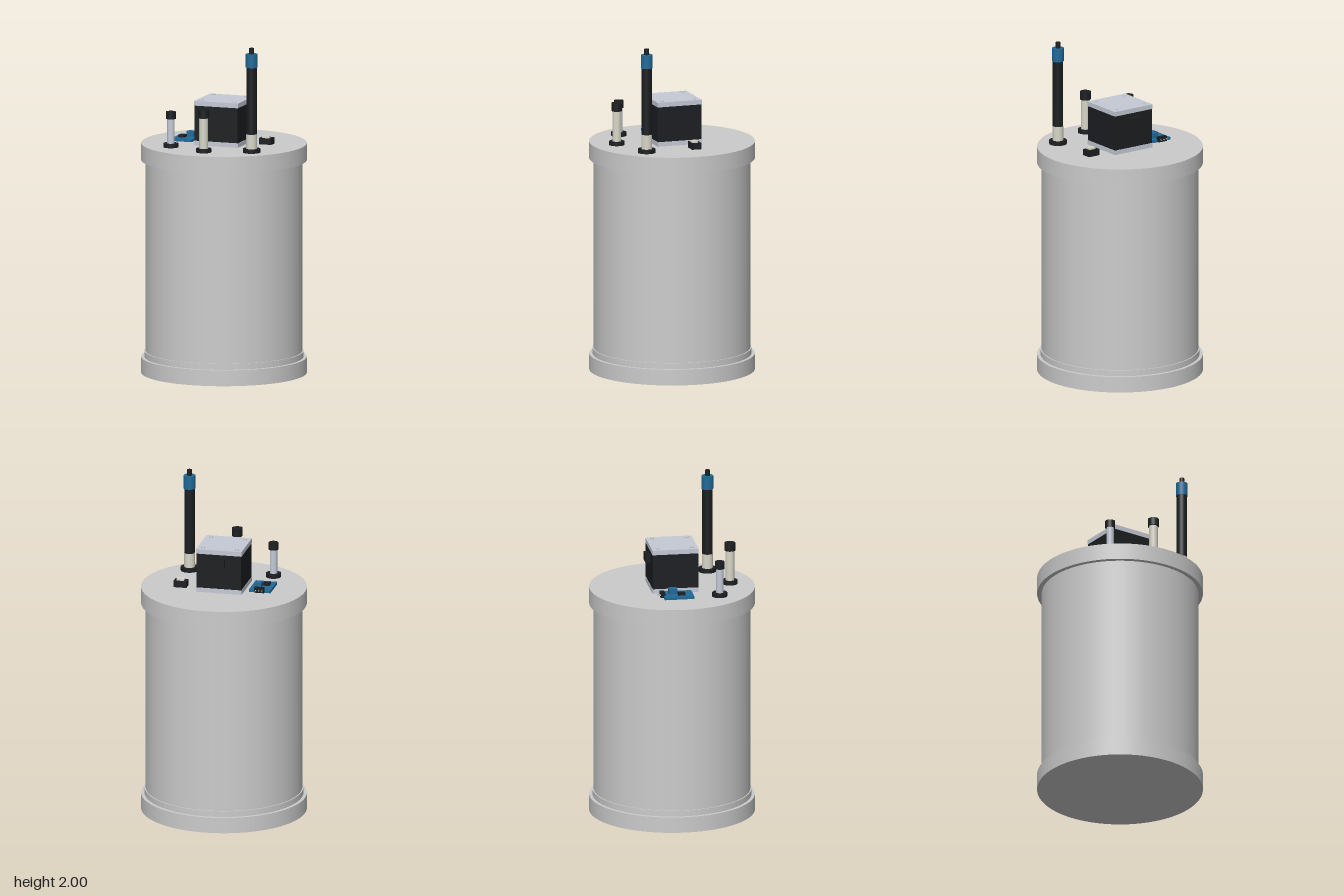
import * as THREE from 'three';

const mat = (color) => new THREE.MeshStandardMaterial({ color });
const grey = mat(0xcccccc), black = mat(0x1b1e21), blue = mat(0x1f6a98);
const silver = mat(0xc4cad6), cream = mat(0xd8d6c8);
const DECK = 1.375; // top of the lid

export function createModel() {
  const model = new THREE.Group();

  function group(name, x, z) {
    const g = new THREE.Group();
    g.name = name;
    g.position.set(x, 0, z);
    model.add(g);
    return g;
  }
  function add(parent, name, geometry, material, x, y, z) {
    const mesh = new THREE.Mesh(geometry, material);
    mesh.name = name;
    mesh.position.set(x, y, z);
    parent.add(mesh);
    return mesh;
  }
  // Upright cylinder between two heights
  const rod = (parent, name, material, r, y0, y1, x = 0, z = 0, sides = 32) =>
    add(parent, name, new THREE.CylinderGeometry(r, r, y1 - y0, sides), material, x, (y0 + y1) / 2, z);
  // Box given by its limits on each axis
  const box = (parent, name, material, [x0, x1], [y0, y1], [z0, z1]) =>
    add(parent, name, new THREE.BoxGeometry(x1 - x0, y1 - y0, z1 - z0), material,
      (x0 + x1) / 2, (y0 + y1) / 2, (z0 + z1) / 2);

  // Vessel
  const vessel = group('vessel', 0, 0);
  rod(vessel, 'base', grey, 0.49, 0, 0.095, 0, 0, 96);
  rod(vessel, 'baseRing', grey, 0.47, 0.095, 0.13, 0, 0, 96);
  rod(vessel, 'body', grey, 0.463, 0.095, 1.275, 0, 0, 96);
  rod(vessel, 'lid', grey, 0.49, 1.275, DECK, 0, 0, 96);

  // Square motor with end plates, screws and rear connector
  const motor = group('motor', 0, 0);
  const side = [-0.138, 0.138], core = [-0.136, 0.136];
  box(motor, 'lowerPlate', silver, side, [DECK, 1.402], side);
  box(motor, 'motorBody', black, core, [1.402, 1.612], core);
  box(motor, 'upperPlate', silver, side, [1.612, 1.64], side);
  for (const x of [-0.103, 0.103])
    for (const z of [-0.103, 0.103]) rod(motor, 'screw', silver, 0.011, 1.635, 1.645, x, z, 16);
  box(motor, 'motorConnector', black, [-0.039, 0.039], [1.538, 1.588], [-0.165, -0.13]);

  // Small circuit board
  const board = group('circuitBoard', -0.237, 0);
  box(board, 'boardPlate', blue, [-0.065, 0.065], [1.382, 1.398], [-0.09, 0.087]);
  box(board, 'trimmer', blue, [-0.001, 0.043], [1.398, 1.428], [-0.054, -0.004]);
  box(board, 'chip', black, [-0.039, 0.001], [1.398, 1.412], [-0.005, 0.038]);
  box(board, 'pinHeader', black, [-0.029, 0.03], [1.385, 1.415], [-0.108, -0.082]);
  for (const x of [-0.02, 0, 0.02])
    box(board, 'pin', silver, [x - 0.002, x + 0.002], [1.398, 1.402], [-0.123, -0.105]);

  // Small sensor block with a pale window
  const sensor = group('sensor', 0.249, -0.054);
  box(sensor, 'sensorBlock', black, [-0.039, 0.039], [DECK, 1.412], [-0.029, 0.029]);
  box(sensor, 'sensorWindow', cream, [-0.022, 0.022], [1.41, 1.422], [-0.013, 0.023]);

  // Capped ports: name, x, z, tube radius, cap radius, cap bottom and top, tube material
  for (const [name, x, z, r, capR, y0, y1, m] of [
    ['sidePort', -0.243, 0.247, 0.022, 0.029, 1.545, 1.588, silver],
    ['frontPort', 0, 0.346, 0.026, 0.032, 1.58, 1.628, cream],
  ]) {
    const port = group(name, x, z);
    rod(port, 'flange', black, 0.045, DECK, 1.398);
    rod(port, 'tube', m, r, 1.398, y0);
    rod(port, 'cap', black, capR, y0, y1);
  }

  // Tall probe
  const probe = group('probe', 0.268, 0.254);
  rod(probe, 'flange', black, 0.052, DECK, 1.398);
  rod(probe, 'sleeve', cream, 0.032, 1.398, 1.485);
  rod(probe, 'shaft', black, 0.031, 1.485, 1.885);
  rod(probe, 'collar', blue, 0.035, 1.885, 1.965);
  rod(probe, 'tip', black, 0.015, 1.965, 2);

  return model;
}
